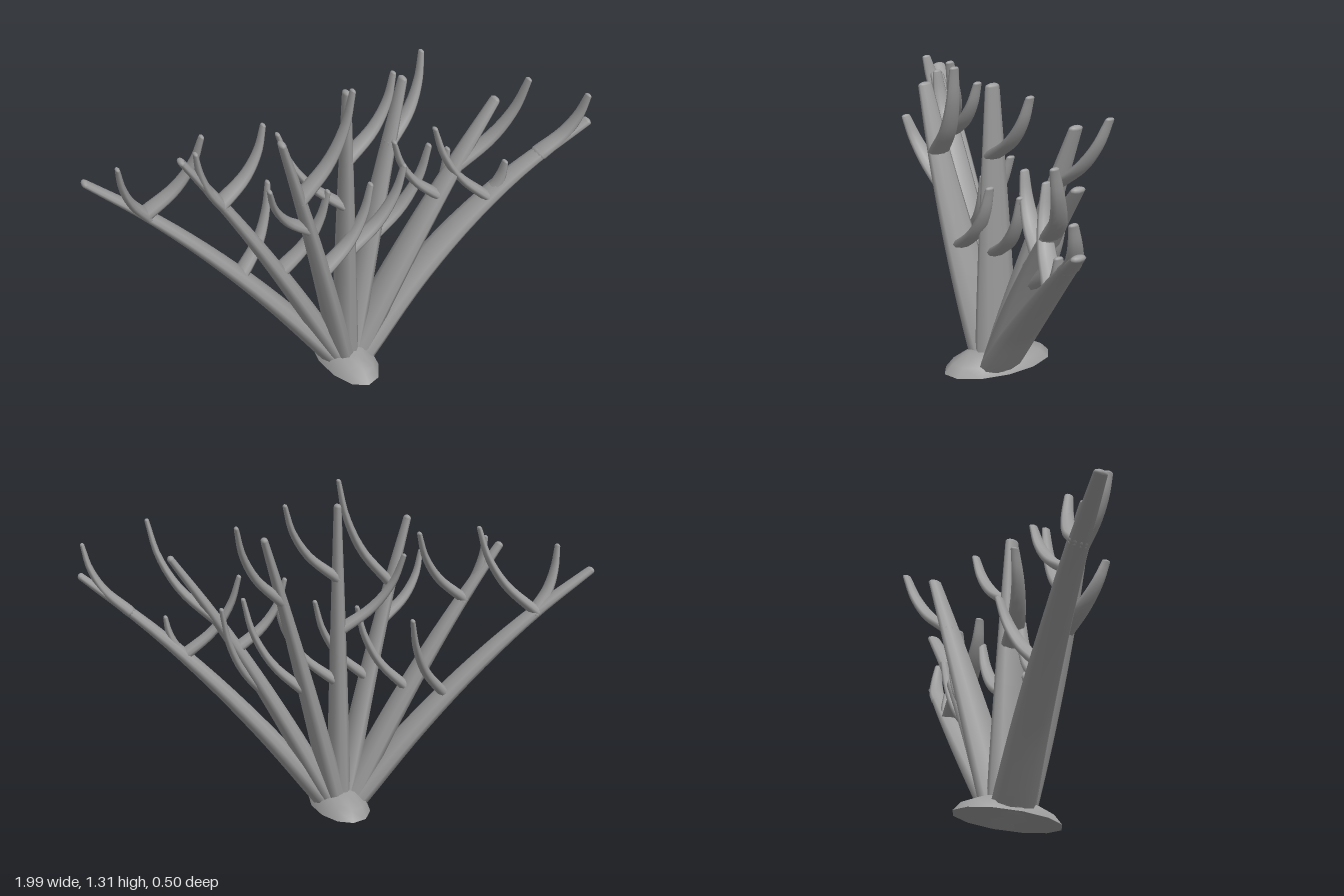
import * as THREE from 'three';
import { mergeGeometries } from 'three/addons/utils/BufferGeometryUtils.js';

const DEPTH = 2.15; // cross-sections are deeper (z) than they are wide
const SIDES = 10;

// Tapered tube with round ends and an oval cross-section
function taperedLimb(points, r0, r1, segments) {
  const curve = new THREE.CatmullRomCurve3(
    points.map((p) => new THREE.Vector3(p.x, p.y, p.z / DEPTH)));
  const tube = new THREE.TubeGeometry(curve, segments, 1, SIDES);
  const pos = tube.attributes.position;
  const p = new THREE.Vector3();
  for (let i = 0; i <= segments; i++) {
    const t = i / segments;
    const centre = curve.getPointAt(t);
    const r = THREE.MathUtils.lerp(r0, r1, t ** 1.2);
    for (let j = 0; j <= SIDES; j++) {
      const k = i * (SIDES + 1) + j;
      p.fromBufferAttribute(pos, k).sub(centre).multiplyScalar(r).add(centre);
      pos.setXYZ(k, p.x, p.y, p.z);
    }
  }
  const ends = [[0, r0], [1, r1]].map(([t, r]) => {
    const c = curve.getPointAt(t);
    return new THREE.SphereGeometry(r, SIDES, 6).translate(c.x, c.y, c.z);
  });
  return mergeGeometries([tube, ...ends]).scale(1, 1, DEPTH);
}

// Point on a main branch: a line from the foot to the tip, bowed upward the more it leans
function branchPoint(tip, bowZ, t) {
  const root = new THREE.Vector3(tip.x * 0.07, 0.05, tip.z * 0.1 + 0.01);
  const p = root.lerp(tip, t);
  p.y += 0.28 * Math.abs(tip.x) * t * (1 - t);
  p.z += 4 * bowZ * t * (1 - t);
  return p;
}

// Side shoot that leaves sideways and hooks upward
function hookedTwig(a, b) {
  const at = (fx, fy, fz) => new THREE.Vector3(
    THREE.MathUtils.lerp(a.x, b.x, fx),
    THREE.MathUtils.lerp(a.y, b.y, fy),
    THREE.MathUtils.lerp(a.z, b.z, fz));
  return taperedLimb([a, at(0.55, 0.32, 0.38), at(0.86, 0.66, 0.72), b], 0.022, 0.009, 12);
}

// Main branches by tip and sideways bow; each twig is its place along the branch, then its tip
const BRANCHES = [
  { name: 'farRight', tip: [-0.98, 0.965, -0.17], bowZ: 0,
    twigs: [[0.385, -0.25, 0.8, -0.17], [0.76, -0.88, 1.05, -0.07], [0.77, -0.56, 1.13, -0.04]] },
  { name: 'midRight', tip: [-0.65, 1.055, -0.02], bowZ: 0,
    twigs: [[0.39, -0.08, 0.82, 0.03], [0.75, -0.6, 1.085, 0], [0.76, -0.31, 1.12, -0.05]] },
  { name: 'innerRight', tip: [-0.325, 1.145, 0.17], bowZ: 0.02,
    twigs: [[0.4, 0.08, 0.84, 0.08], [0.61, -0.4, 0.995, 0.225], [0.75, -0.04, 1.305, 0.17]] },
  { name: 'centre', tip: [0, 1.225, 0.03], bowZ: 0,
    twigs: [[0.4, 0.25, 0.86, 0.03], [0.58, -0.235, 1.045, -0.09], [0.76, 0.22, 1.245, -0.02]] },
  { name: 'innerLeft', tip: [0.33, 1.14, -0.155], bowZ: 0,
    twigs: [[0.4, 0.39, 0.89, -0.03], [0.76, 0.45, 1.205, -0.23]] },
  { name: 'midLeft', tip: [0.66, 1.055, 0.01], bowZ: 0.01,
    twigs: [[0.39, 0.475, 0.855, -0.03], [0.59, 0.22, 0.955, 0], [0.71, 0.73, 1.185, 0.14]] },
  { name: 'farLeft', tip: [0.985, 0.97, 0.18], bowZ: -0.045,
    twigs: [[0.58, 0.675, 0.81, 0.09], [0.59, 0.4, 0.975, 0], [0.81, 0.975, 1.09, 0.195]] },
];

export function createModel() {
  const group = new THREE.Group();
  const coral = new THREE.MeshStandardMaterial({ color: 0x9c9c9c });
  coral.name = 'coralGrey';
  const add = (name, geometry, parent) => {
    const mesh = new THREE.Mesh(geometry, coral);
    mesh.name = name;
    parent.add(mesh);
  };

  // Oval domed foot with a flat underside
  const profile = [[0.115, 0.014], [0.098, 0.052], [0.06, 0.087], [0, 0.092]]
    .map(([x, y]) => new THREE.Vector2(x, y));
  const dome = new THREE.LatheGeometry(profile, 12);
  const sole = new THREE.CircleGeometry(0.115, 12).rotateX(Math.PI / 2).translate(0, 0.014, 0);
  add('foot', mergeGeometries([dome, sole]).scale(1, 1, 2.06).translate(0, 0, 0.01), group);

  // Fan of branches, each with its twigs
  for (const { name, tip, bowZ, twigs } of BRANCHES) {
    const limb = new THREE.Group();
    limb.name = name + 'Limb';
    const end = new THREE.Vector3(...tip);
    const path = [0, 0.25, 0.5, 0.75, 1].map((t) => branchPoint(end, bowZ, t));
    add(name + 'Branch', taperedLimb(path, 0.044, 0.014, 16), limb);
    twigs.forEach(([t, ...twigTip], i) => {
      const twig = hookedTwig(branchPoint(end, bowZ, t), new THREE.Vector3(...twigTip));
      add(`${name}Twig${i + 1}`, twig, limb);
    });
    group.add(limb);
  }
  return group;
}
